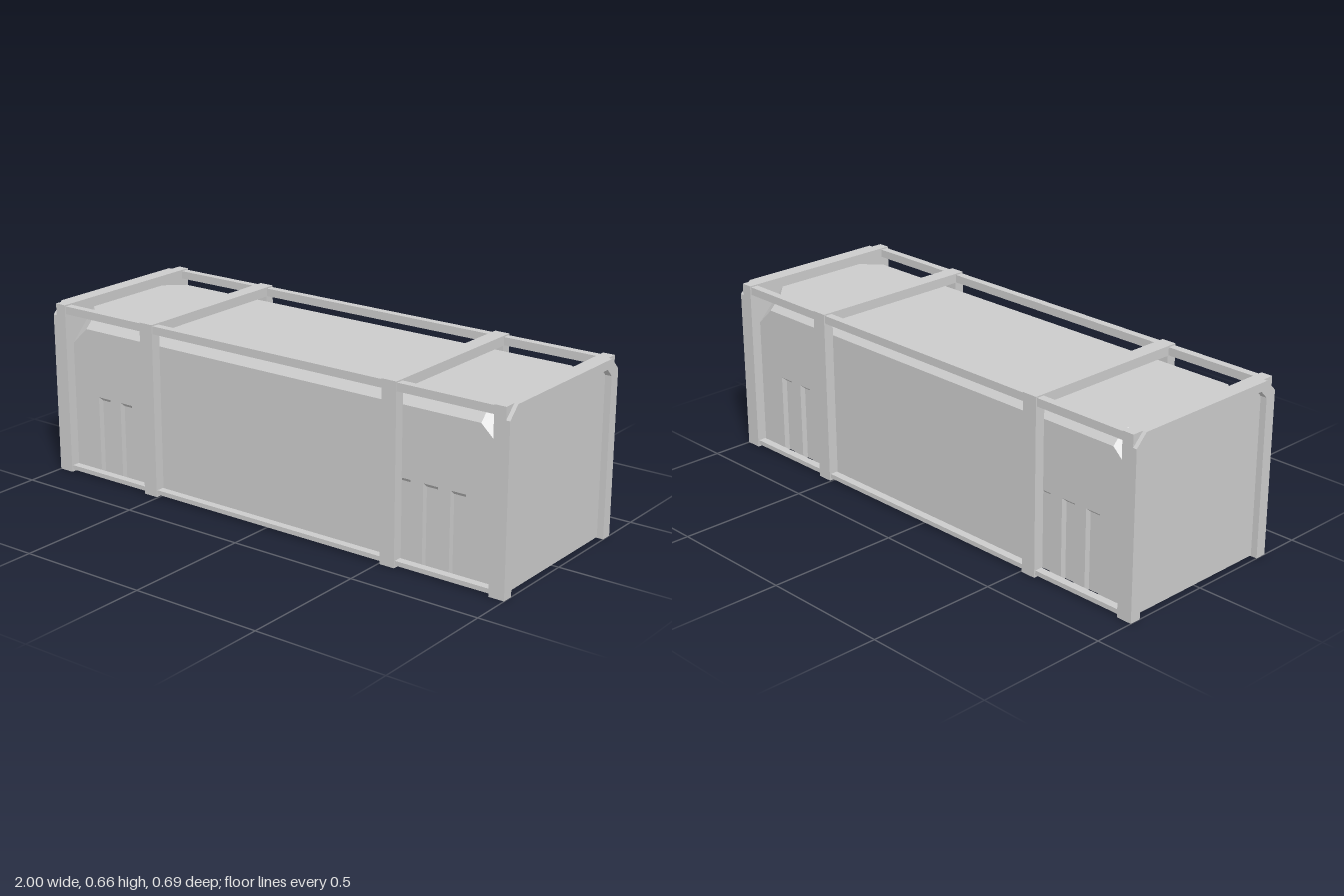
import * as THREE from 'three';
import { ConvexGeometry } from 'three/addons/geometries/ConvexGeometry.js';

const material = new THREE.MeshStandardMaterial({ color: 0xcccccc, flatShading: true });

// frame and body dimensions
const H = 0.66, W = 0.345;             // frame height and half width
const BODY_X = 0.94, BODY_Z = 0.307;   // body half length and half width
const BODY_TOP = 0.622, FLOOR = 0.01;
const SLOT_TOP = 0.315, SLOT_DEPTH = 0.022;
const SLOTS = [[0.54, 0.6], [0.652, 0.71], [0.76, 0.82]];

const shapeOf = (pts) => new THREE.Shape(pts.map(([a, b]) => new THREE.Vector2(a, b)));

// closed outline in (z, y), drawn out along x from x0 to x1
function alongX(pts, x0, x1) {
  const g = new THREE.ExtrudeGeometry(shapeOf(pts), { depth: x1 - x0, bevelEnabled: false });
  return g.rotateY(Math.PI / 2).translate(x0, 0, 0);
}

// half width w, height h, corner cut c: outline from right foot over the top to left foot
function archLine(w, h, c, y0 = 0) {
  const half = c > 0 ? [[w, y0], [w, h - c], [w - c, h]] : [[w, y0], [w, h]];
  return [...half, ...half.map(([a, b]) => [-a, b]).reverse()];
}

const archOutline = (outerCut, w, h, innerCut) =>
  [...archLine(W, H, outerCut), ...archLine(w, h, innerCut).reverse()];

export function createModel() {
  const model = new THREE.Group();
  const add = (name, geometry, parent = model) => {
    const mesh = new THREE.Mesh(geometry, material);
    mesh.name = name;
    parent.add(mesh);
    return mesh;
  };
  const box = (name, w, h, d, x, y, z, parent) =>
    add(name, new THREE.BoxGeometry(w, h, d).translate(x, y, z), parent);

  // upper body: bevelled long edges and cut corners
  const pts = [];
  for (const sx of [-1, 1]) for (const sz of [-1, 1]) {
    for (const [x, y, z] of [
      [BODY_X, SLOT_TOP, BODY_Z], [BODY_X, 0.507, BODY_Z], [BODY_X, BODY_TOP, 0.192],
      [0.87, 0.572, BODY_Z], [0.87, BODY_TOP, 0.257],
    ]) pts.push(new THREE.Vector3(sx * x, y, sz * z));
  }
  add('upperBody', new ConvexGeometry(pts));

  // lower body: plan outline with upright slots notched into both long sides
  const quarter = [];
  for (const [a, b] of SLOTS) {
    const d = BODY_Z - SLOT_DEPTH;
    quarter.push([a, BODY_Z], [a, d], [b, d], [b, BODY_Z]);
  }
  quarter.push([BODY_X, BODY_Z]);
  const side = [...quarter.map(([x, z]) => [-x, z]).reverse(), ...quarter];
  const plan = [...side, ...side.map(([x, z]) => [x, -z]).reverse()];
  add('lowerBody', new THREE.ExtrudeGeometry(shapeOf(plan), {
    depth: SLOT_TOP - FLOOR, bevelEnabled: false,
  }).rotateX(-Math.PI / 2).translate(0, FLOOR, 0));

  // sloping ceiling of each slot
  for (const sx of [-1, 1]) for (const sz of [-1, 1]) for (const [a, b] of SLOTS) {
    const wedge = [];
    for (const x of [a, b]) {
      wedge.push(
        new THREE.Vector3(sx * x, SLOT_TOP, sz * BODY_Z),
        new THREE.Vector3(sx * x, SLOT_TOP, sz * (BODY_Z - SLOT_DEPTH)),
        new THREE.Vector3(sx * x, 0.297, sz * (BODY_Z - SLOT_DEPTH)));
    }
    add('slotCeiling', new ConvexGeometry(wedge));
  }

  // end frames with recessed panels, and middle hoops; the far end is turned around
  for (const turn of [0, Math.PI]) {
    const end = new THREE.Group();
    end.name = 'endAssembly';
    end.rotation.y = turn;
    add('endFrame', alongX(archOutline(0, 0.302, 0.628, 0.03), 0.94, 0.985), end);
    add('endFrameFace', alongX(archOutline(0.045, 0.302, 0.628, 0.03), 0.985, 1), end);
    add('endPanel', alongX(archLine(0.302, 0.628, 0.03, 0.003), 0.94, 0.975), end);
    add('hoop', alongX(archOutline(0, 0.306, 0.624, 0), 0.506, 0.565), end);
    model.add(end);
  }

  // long rails
  for (const sz of [-1, 1]) {
    box('topRail', 1.9, 0.03, 0.03, 0, 0.64, sz * 0.325);
    box('bottomRail', 1.9, 0.017, 0.03, 0, 0.0175, sz * 0.325);
  }
  return model;
}
